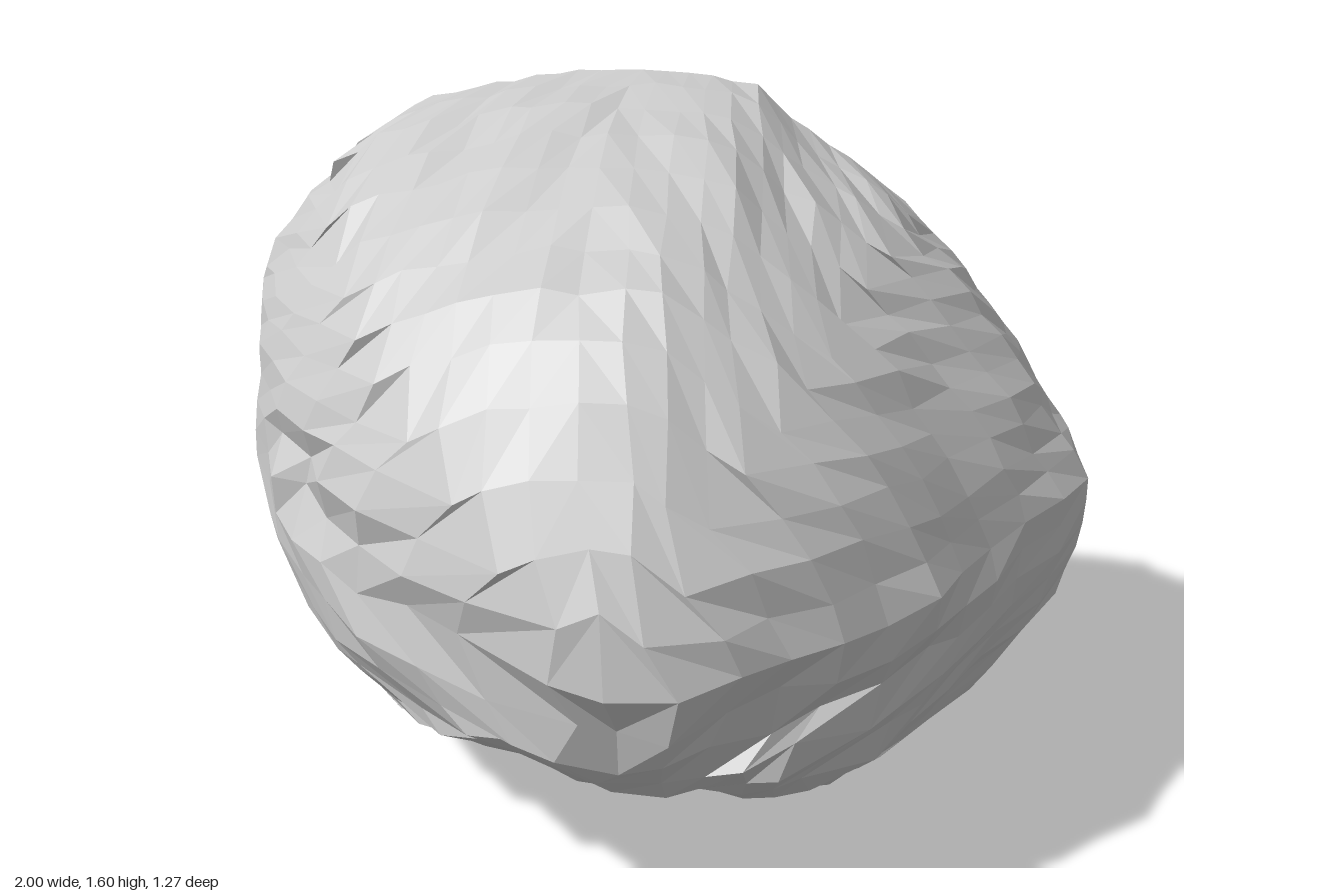
import * as THREE from 'three';

const CENTRE = { x: 0.1, y: 0.7 };
const HALF = { left: 1.1, right: 0.89, bottom: 0.695, top: 0.895 };

// Widest outline, clockwise seen from the front
const OUTLINE = [
  [0.99, 0.77], [0.985, 0.55], [0.93, 0.42], [0.83, 0.24], [0.72, 0.11], [0.6, 0.04],
  [0.4, 0.02], [0.2, 0.02], [0, 0.005], [-0.15, 0.04], [-0.28, 0.09], [-0.48, 0.11],
  [-0.68, 0.14], [-0.8, 0.27], [-0.9, 0.4], [-0.98, 0.6], [-1, 0.82], [-0.98, 1.1],
  [-0.87, 1.32], [-0.72, 1.47], [-0.5, 1.54], [-0.2, 1.595], [0.17, 1.575], [0.3, 1.48],
  [0.5, 1.36], [0.65, 1.22], [0.8, 1.05], [0.9, 0.9],
];

// Cross-sections from the blunt front to the back: z, left, right, bottom, top
const SECTIONS = [
  [0.645, 0.1, 0.1, 0.7, 0.7], [0.62, -0.03, 0.25, 0.57, 0.87],
  [0.56, -0.22, 0.36, 0.47, 0.99], [0.48, -0.37, 0.44, 0.4, 1.11],
  [0.39, -0.51, 0.54, 0.32, 1.22], [0.29, -0.62, 0.63, 0.25, 1.31],
  [0.19, -0.71, 0.71, 0.18, 1.38], [0.08, -0.79, 0.76, 0.125, 1.425],
  [-0.04, -0.86, 0.81, 0.08, 1.47], [-0.17, -0.925, 0.87, 0.045, 1.515],
  [-0.3, -0.97, 0.94, 0.02, 1.545], [-0.43, -1, 0.99, 0.005, 1.57],
  [-0.54, -0.98, 0.975, 0.01, 1.585], [-0.63, -0.93, 0.95, 0.015, 1.595],
];
const N = SECTIONS.length - 1;

// Seeded random in -1..1
function makeRandom(seed) {
  return () => {
    seed = (seed * 1664525 + 1013904223) % 4294967296;
    return seed / 2147483648 - 1;
  };
}

// Position 0..1 around square ring m of the grid, anticlockwise from the right
function around(i, j, m) {
  if (m === 0) return 0;
  let q = 6 + i / m;
  if (i === m) q = j / m;
  else if (j === m) q = 2 - i / m;
  else if (i === -m) q = 4 - j / m;
  return (q / 8 + 1) % 1;
}

function facetedMesh(name, points, index) {
  const geometry = new THREE.BufferGeometry().setFromPoints(points);
  geometry.setIndex(index);
  geometry.computeVertexNormals();
  const mesh = new THREE.Mesh(
    geometry,
    new THREE.MeshStandardMaterial({ color: 0xcccccc, flatShading: true }),
  );
  mesh.name = name;
  return mesh;
}

export function createModel() {
  const random = makeRandom(17);
  const outline = new THREE.CatmullRomCurve3(
    OUTLINE.map(([x, y]) => new THREE.Vector3(x, y, 0)), true,
  );

  // Point of the rough surface on ring m
  function surfacePoint(m, t) {
    const [z, left, right, bottom, top] = SECTIONS[m];
    const o = outline.getPointAt(1 - t);
    let u = (o.x - CENTRE.x) / (o.x > CENTRE.x ? HALF.right : HALF.left);
    let v = (o.y - CENTRE.y) / (o.y > CENTRE.y ? HALF.top : HALF.bottom);
    // Inner rings become rounder than the outline
    const round = THREE.MathUtils.lerp(1 / Math.hypot(u, v), 1, 0.4 + 0.6 * m / N);
    u *= round;
    v *= round;
    const p = new THREE.Vector3(
      CENTRE.x + u * (u > 0 ? right - CENTRE.x : CENTRE.x - left),
      CENTRE.y + v * (v > 0 ? top - CENTRE.y : CENTRE.y - bottom),
      z,
    );
    // Broken-away edge at the back
    if (m >= N - 1 && u < 0) {
      p.x -= u * (m === N ? 0.19 : 0.06) * Math.exp(-(((p.y - 0.85) / 0.35) ** 2));
    }
    // Undercut below a ledge that climbs across the front
    const below = 0.64 + Math.max(0, -p.x) * 0.4 - p.y;
    const undercut = z > 0 && below > 0 && below < 0.13;
    if (undercut) p.z -= 0.045;
    // Chips around the ledge and the broken edge, gentle facets elsewhere
    const chipped = undercut || (z > 0.1 && p.y > 0.32 && p.y < 0.5)
      || (p.x < -0.8 && z < -0.3 && p.y > 0.4);
    const rough = m === N ? 0.006 : chipped ? 0.025 : 0.011;
    p.x = THREE.MathUtils.clamp(p.x + random() * rough, -1, 1);
    p.y = THREE.MathUtils.clamp(p.y + random() * rough, 0, 1.597);
    if (m < N) p.z = Math.min(0.645, p.z + random() * rough);
    return p;
  }

  // Square grid wrapped over the dome
  const points = [];
  const rim = [];
  for (let j = -N; j <= N; j++) {
    for (let i = -N; i <= N; i++) {
      const m = Math.max(Math.abs(i), Math.abs(j));
      const t = around(i, j, m);
      const p = surfacePoint(m, t);
      points.push(p);
      if (m === N) rim.push({ t, p });
    }
  }
  const index = [];
  const row = 2 * N + 1;
  for (let j = 0; j < row - 1; j++) {
    for (let i = 0; i < row - 1; i++) {
      const a = j * row + i, b = a + 1, c = a + row, d = c + 1;
      // Diagonals run across the corners of each ring
      if ((i < N) === (j < N)) index.push(a, b, c, b, d, c);
      else index.push(a, b, d, a, d, c);
    }
  }

  // Flat cut face at the back
  rim.sort((a, b) => a.t - b.t);
  const capPoints = [new THREE.Vector3(CENTRE.x, CENTRE.y, SECTIONS[N][0]), ...rim.map((r) => r.p)];
  const capIndex = rim.flatMap((r, k) => [0, ((k + 1) % rim.length) + 1, k + 1]);

  const rock = new THREE.Group();
  rock.name = 'halfBoulder';
  rock.add(
    facetedMesh('roughDome', points, index),
    facetedMesh('flatBack', capPoints, capIndex),
  );
  return rock;
}
